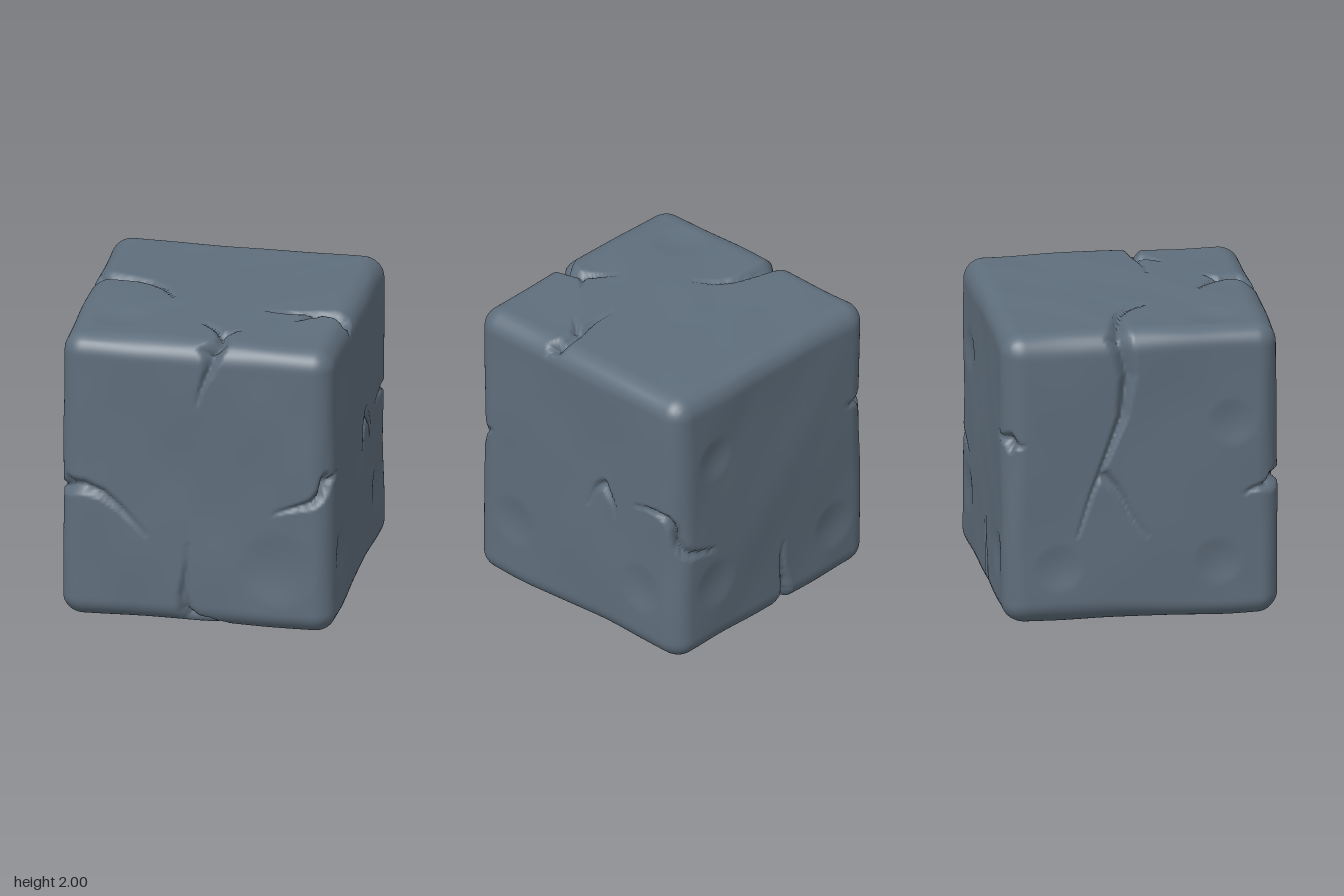
import * as THREE from 'three';
import { mergeVertices } from 'three/addons/utils/BufferGeometryUtils.js';

const HALF = new THREE.Vector3(0.905, 0.993, 0.91);
const SEGMENTS = 104;

// Face frames: two coordinates on a face (y counted from the ground) to a point on the block
const front = (x, y) => new THREE.Vector3(x, y - 1, HALF.z);
const back = (x, y) => new THREE.Vector3(x, y - 1, -HALF.z);
const left = (z, y) => new THREE.Vector3(HALF.x, y - 1, z);
const right = (z, y) => new THREE.Vector3(-HALF.x, y - 1, z);
const top = (x, z) => new THREE.Vector3(x, HALF.y, z);
const bottom = (x, z) => new THREE.Vector3(x, -HALF.y, z);

// A crack runs from (a, b) to (c, d) on a face, bows sideways by bend and tapers to its end
function crack(face, a, b, c, d, width, bend) {
  const steps = 5;
  const at = (t) => {
    const side = bend * 4 * t * (1 - t) + 0.03 * Math.sin(2 * Math.PI * t);
    return face(a + (c - a) * t - (d - b) * side, b + (d - b) * t + (c - a) * side);
  };
  return Array.from({ length: steps }, (_, i) => ({
    line: new THREE.Line3(at(i / steps), at((i + 1) / steps)), width, from: i / steps, step: 1 / steps,
  }));
}

const dent = (face, a, b, radius) => ({ centre: face(a, b), radius });

const crackPieces = [
  // notch through the front top edge, forked on top
  crack(front, 0.1, 2, 0.01, 1.58, 0.085, 0.04),
  crack(top, 0.1, 0.91, -0.04, 0.51, 0.08, 0.25),
  crack(top, 0.13, 0.67, 0.23, 0.59, 0.035, 0),
  // front left edge
  crack(front, -0.9, 0.93, -0.33, 0.63, 0.06, 0.15),
  crack(right, 0.91, 0.93, 0.68, 0.86, 0.06, 0),
  // front right edge
  crack(front, 0.9, 1.07, 0.52, 0.85, 0.07, 0.1),
  crack(left, 0.91, 1.07, 0.75, 1.11, 0.06, 0),
  // front bottom edge
  crack(front, -0.02, 0, -0.06, 0.58, 0.065, 0.07),
  crack(bottom, -0.02, 0.91, 0.5, 0.35, 0.06, 0.1),
  // long split over the top and down the right side
  crack(top, -0.9, -0.15, -0.31, 0.11, 0.075, -0.15),
  crack(right, -0.15, 2, -0.42, 0.62, 0.075, 0.08),
  crack(right, -0.25, 1.02, 0.04, 0.6, 0.035, 0),
  // top left edge
  crack(top, 0.9, 0.23, 0.33, 0.23, 0.06, 0.03),
  crack(top, 0.65, 0.24, 0.55, 0.35, 0.035, 0),
  crack(left, 0.23, 2, 0.28, 1.9, 0.05, 0),
  // forked chip on the left side
  crack(left, -0.24, 1.13, -0.1, 0.92, 0.03, 0.1),
  crack(left, -0.24, 1.13, -0.34, 0.93, 0.03, -0.1),
  // back edges
  crack(left, -0.91, 0.92, -0.52, 1.09, 0.06, 0.28),
  crack(back, 0.9, 0.92, 0.55, 0.76, 0.06, 0.1),
  crack(right, -0.91, 1.27, -0.78, 1.25, 0.065, 0),
  crack(back, -0.9, 1.27, -0.7, 1.3, 0.065, 0),
  crack(back, -0.12, 0, -0.1, 0.5, 0.065, 0),
  crack(bottom, -0.12, -0.91, -0.18, -0.42, 0.06, 0),
].flat();

const dents = [
  dent(front, 0.55, 0.45, 0.27), dent(top, -0.6, 0.5, 0.19), dent(bottom, -0.6, 0.55, 0.19),
  dent(left, 0.57, 0.5, 0.19), dent(left, -0.57, 0.47, 0.19),
  dent(back, 0.55, 1.45, 0.16), dent(back, 0.55, 0.5, 0.18), dent(back, -0.58, 0.42, 0.18),
  dent(right, 0.6, 1.35, 0.17), dent(right, 0.5, 0.4, 0.17), dent(right, -0.55, 0.4, 0.17),
];

// Gentle hand-hewn waviness
const wave = (p) =>
  0.006 * Math.sin(3.1 * p.x + 1.3 * p.y + 0.6) * Math.sin(2.7 * p.y - 2.2 * p.z + 1.1) +
  0.005 * Math.sin(5.3 * p.z + 2.4 * p.x) * Math.cos(4.6 * p.y + 1.9 * p.x) +
  0.002 * Math.sin(11 * p.x + 7 * p.z) * Math.sin(9 * p.y + 5 * p.z + 2);

// How far the surface is carved in at a point of the block
function carve(p) {
  const near = new THREE.Vector3();
  let sink = 0;
  for (const { line, width, from, step } of crackPieces) {
    const t = line.closestPointToPointParameter(p, true);
    const taper = 1 - (from + t * step);
    const d = line.at(t, near).distanceTo(p) / (0.017 + width * taper * taper);
    if (d < 1) sink = Math.max(sink, (0.012 + 1.15 * width * taper) * (1 - d) * (1 - 0.4 * d));
  }
  for (const { centre, radius } of dents) {
    const d = centre.distanceTo(p) / radius;
    if (d < 1) sink += 0.016 * (1 - d * d) ** 1.5;
  }
  return sink;
}

function stoneGeometry() {
  const box = new THREE.BoxGeometry(HALF.x * 2, HALF.y * 2, HALF.z * 2, SEGMENTS, SEGMENTS, SEGMENTS);
  box.deleteAttribute('uv');
  box.deleteAttribute('normal');
  const geo = mergeVertices(box, 1e-4);
  const pos = geo.attributes.position;
  const p = new THREE.Vector3(), core = new THREE.Vector3(), dir = new THREE.Vector3();
  const low = new THREE.Vector3(), high = new THREE.Vector3();

  for (let i = 0; i < pos.count; i++) {
    p.fromBufferAttribute(pos, i);
    // Worn rounded edges, uneven along their length
    const r = 0.14 + 0.025 * Math.sin(4 * p.x + 2.3 * p.y + 1) * Math.cos(3.3 * p.z - 1.7 * p.y);
    high.copy(HALF).subScalar(r);
    core.copy(p).clamp(low.copy(high).negate(), high);
    dir.subVectors(p, core).normalize();
    core.addScaledVector(dir, r + wave(p) - carve(p));
    pos.setXYZ(i, core.x, core.y, core.z);
  }

  // Stand the block on the ground
  geo.computeBoundingBox();
  geo.translate(0, -geo.boundingBox.min.y, 0);
  geo.computeVertexNormals();
  return geo;
}

export function createModel() {
  const group = new THREE.Group();
  group.name = 'stoneCube';
  const slate = new THREE.MeshStandardMaterial({ color: 0x5f6e7c });
  slate.name = 'slateGrey';
  const block = new THREE.Mesh(stoneGeometry(), slate);
  block.name = 'crackedStoneBlock';
  group.add(block);
  return group;
}
